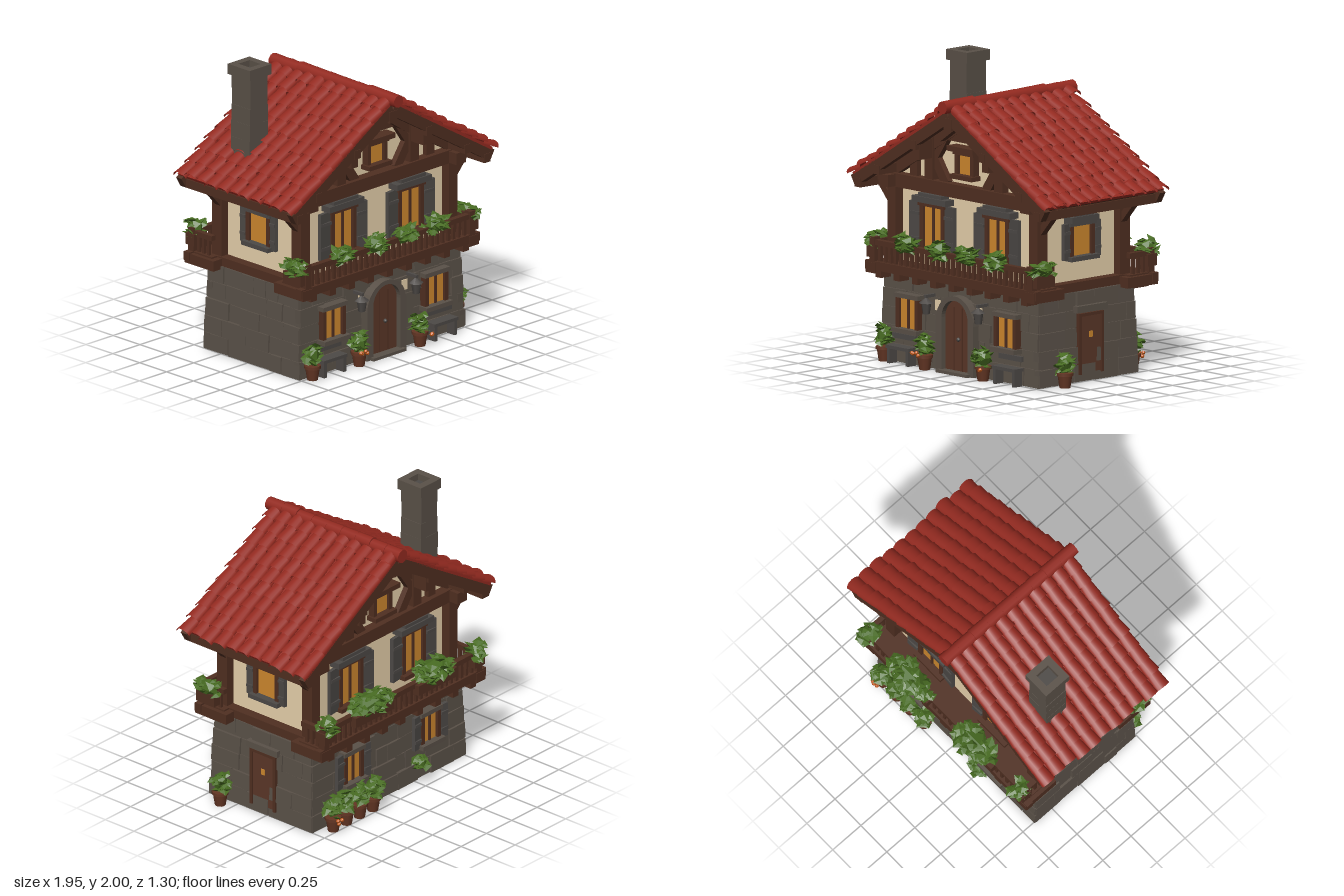
import * as THREE from 'three';
import { mergeGeometries } from 'three/addons/utils/BufferGeometryUtils.js';

const mat = (name, color, side = THREE.FrontSide) => new THREE.MeshStandardMaterial({ name, color, side });
const M = {
  stone: mat('stone', 0x5a5148, THREE.DoubleSide), slate: mat('darkSlate', 0x4d4946),
  wood: mat('darkWood', 0x502f21), door: mat('doorWood', 0x5b3728),
  plaster: mat('plaster', 0xe8d2ac), glow: mat('amberGlass', 0xce882e),
  roof: mat('redTile', 0x942a20, THREE.DoubleSide), leaf: mat('leaf', 0x486c22),
  pot: mat('terracotta', 0x643624), flower: mat('flower', 0xc05a1c),
};

let seed = 7;
const rnd = (a = 0, b = 1) => {
  seed = (seed * 16807) % 2147483647;
  return a + (b - a) * (seed / 2147483647);
};

function add(parent, name, geometry, material, x = 0, y = 0, z = 0) {
  const m = new THREE.Mesh(geometry, material);
  m.name = name;
  m.position.set(x, y, z);
  parent.add(m);
  return m;
}
const box = (p, name, material, w, h, d, x, y, z) => add(p, name, new THREE.BoxGeometry(w, h, d), material, x, y, z);

// Timber between two points in the x-y plane
function beam(p, name, x1, y1, x2, y2, thick, depth, z) {
  const b = box(p, name, M.wood, Math.hypot(x2 - x1, y2 - y1), thick, depth, (x1 + x2) / 2, (y1 + y2) / 2, z);
  b.rotation.z = Math.atan2(y2 - y1, x2 - x1);
  return b;
}

function wall(root, name, x, z, turn) {
  const g = new THREE.Group();
  g.name = name;
  g.position.set(x, 0, z);
  g.rotation.y = turn;
  root.add(g);
  return g;
}

// Broad-leaved cluster filling an ellipsoid
function bush(p, name, x, y, z, rx, ry, rz, count) {
  const parts = [new THREE.IcosahedronGeometry(1, 0).scale(rx * 0.75, ry * 0.75, rz * 0.75)];
  for (let i = 0; i < count; i++) {
    const a = rnd(0, Math.PI * 2), v = rnd(-0.9, 0.95), r = Math.sqrt(1 - v * v), k = rnd(0.6, 0.85);
    const s = rnd(0.034, 0.052);
    parts.push(new THREE.OctahedronGeometry(s).scale(1, 0.3, 0.75)
      .rotateZ(rnd(-0.7, 0.7)).rotateY(rnd(0, 6.28))
      .translate(rx * k * r * Math.cos(a), ry * k * v, rz * k * r * Math.sin(a)));
  }
  add(p, name, mergeGeometries(parts), M.leaf, x, y, z);
}

function pottedPlant(p, x, z, h = 0.26, r = 0.06, blooms = 0) {
  add(p, 'pot', new THREE.CylinderGeometry(0.05, 0.036, 0.09, 10), M.pot, x, 0.045, z);
  add(p, 'potRim', new THREE.CylinderGeometry(0.056, 0.056, 0.02, 10), M.pot, x, 0.09, z);
  bush(p, 'pottedPlant', x, 0.08 + (h - 0.08) / 2, z, r, (h - 0.06) / 2, r, 26);
  for (let i = 0; i < blooms; i++)
    add(p, 'blossom', new THREE.IcosahedronGeometry(0.015), M.flower,
      x + rnd(-0.05, 0.05), rnd(0.07, 0.12), z + Math.sign(z) * 0.068);
}

// Window centred at x, y on a wall whose local z points outward; it passes through the wall
function windowUnit(p, x, y, w, h, { shutter = 0, lintel = 0, frame = M.wood, mullion = true } = {}) {
  const t = 0.03;
  box(p, 'windowGlass', M.glow, w, h, 0.1, x, y, -0.02);
  for (const s of [-1, 1]) {
    box(p, 'windowJamb', M.wood, t, h + t, 0.13, x + s * (w + t) / 2, y, -0.015);
    if (shutter) {
      const sx = x + s * (w / 2 + t + shutter / 2);
      box(p, 'shutter', M.slate, shutter, h + 0.04, 0.025, sx, y, 0.035).rotation.y = -s * 0.12;
      for (const dy of [-0.3, 0.3]) box(p, 'shutterBatten', M.slate, shutter * 0.9, 0.02, 0.02, sx, y + dy * h, 0.047);
    }
  }
  box(p, 'windowHead', frame, w + 2.6 * t, t, 0.14, x, y + (h + t) / 2, -0.01);
  box(p, 'windowSill', frame, w + 3 * t, t, 0.16, x, y - (h + t) / 2, 0);
  if (mullion) box(p, 'mullion', M.wood, 0.018, h, 0.02, x, y, 0.03);
  if (lintel) {
    box(p, 'lintel', M.slate, lintel, 0.04, 0.1, x, y + h / 2 + 0.045, 0.03);
    box(p, 'lintelCap', M.slate, lintel * 0.7, 0.025, 0.08, x, y + h / 2 + 0.075, 0.03);
  }
}

function archShape(w, h) {
  const s = new THREE.Shape();
  s.moveTo(-w, 0).lineTo(w, 0).lineTo(w, h - w);
  s.absarc(0, h - w, w, 0, Math.PI, false);
  s.lineTo(-w, 0);
  return s;
}

// Courses of uneven stones over one tapered base wall
function stonework(p, half, name) {
  const parts = [];
  for (let row = 0; row < 5; row++) {
    const y = 0.06 + row * 0.12, end = half + 0.015 - row * 0.005, shift = -row * 0.005;
    for (let x = -end; x < end - 0.01;) {
      let w = rnd(0.1, 0.24);
      if (end - x - w < 0.08) w = end - x;
      parts.push(new THREE.BoxGeometry(w - 0.004, rnd(0.11, 0.12), 0.05)
        .rotateX(-0.04).rotateZ(rnd(-0.02, 0.02)).translate(x + w / 2, y, rnd(-0.016, 0) + shift));
      x += w;
    }
  }
  add(p, name, mergeGeometries(parts), M.stone);
}

function balcony(p, name) {
  const g = new THREE.Group();
  g.name = name;
  p.add(g);
  box(g, 'deck', M.wood, 1.56, 0.03, 0.22, 0, 0.645, 0.08);
  box(g, 'deckBeam', M.wood, 1.64, 0.06, 0.05, 0, 0.63, 0.165);
  box(g, 'topRail', M.wood, 1.5, 0.035, 0.04, 0, 0.785, 0.165);
  for (let i = 0; i < 29; i++)
    box(g, 'baluster', M.wood, 0.022, 0.13, 0.022, -0.7 + i * 0.05, 0.715, 0.165).rotation.z = rnd(-0.06, 0.06);
  for (let i = -4; i <= 4; i++) box(g, 'joist', M.wood, 0.055, 0.06, 0.25, i * 0.175, 0.585, 0.06);
  for (const s of [-1, 1]) {
    box(g, 'endBeam', M.wood, 0.09, 0.07, 0.27, s * 0.765, 0.615, 0.06);
    box(g, 'cornerPost', M.wood, 0.05, 0.2, 0.05, s * 0.755, 0.72, 0.165);
    box(g, 'sideRail', M.wood, 0.035, 0.035, 0.2, s * 0.755, 0.785, 0.08);
    for (let i = 0; i < 3; i++) box(g, 'sideBaluster', M.wood, 0.02, 0.13, 0.02, s * 0.755, 0.715, 0.02 + i * 0.045);
  }
  return g;
}

// Timber-framed gable end
function gable(p, overhang) {
  beam(p, 'tieBeam', -0.74, 1.2, 0.74, 1.2, 0.09, 0.1, 0.02);
  windowUnit(p, 0, 1.38, 0.12, 0.13, { mullion: false });
  box(p, 'gableHood', M.wood, 0.25, 0.035, 0.1, 0, 1.485, 0.04);
  const peak = new THREE.Shape();
  peak.moveTo(-0.3, 1.53).lineTo(0.3, 1.53).lineTo(0, 1.72).lineTo(-0.3, 1.53);
  add(p, 'peakBoards', new THREE.ExtrudeGeometry(peak, { depth: 0.02, bevelEnabled: false }), M.wood, 0, 0, 0.005);
  beam(p, 'collarBeam', -0.28, 1.555, 0.28, 1.555, 0.06, 0.06, 0.01);
  for (const s of [-1, 1]) {
    beam(p, 'bargeRafter', 0, 1.72, s * 0.91, 1.175, 0.08, 0.05, overhang);
    beam(p, 'wallRafter', 0, 1.69, s * 0.74, 1.255, 0.12, 0.07, 0.01);
    beam(p, 'upperBrace', s * 0.19, 1.54, s * 0.3, 1.38, 0.05, 0.05, 0.015);
    beam(p, 'lowerBrace', s * 0.19, 1.23, s * 0.3, 1.39, 0.07, 0.05, 0.015);
    box(p, 'gablePost', M.wood, 0.08, 0.32, 0.07, s * 0.335, 1.38, 0.02);
    box(p, 'gableStud', M.wood, 0.07, 0.2, 0.05, s * 0.5, 1.3, 0.01);
    box(p, 'purlinBracket', M.wood, 0.06, 0.12, overhang, s * 0.33, 1.45, overhang / 2);
    box(p, 'cornerPost', M.wood, 0.08, 0.54, 0.09, s * 0.68, 0.91, 0.02);
    beam(p, 'eaveStrut', s * 0.69, 1.01, s * 0.85, 1.19, 0.045, 0.05, 0.01);
    beam(p, 'eaveTie', s * 0.68, 1.2, s * 0.88, 1.2, 0.05, 0.06, 0.02);
    beam(p, 'ridgeBrace', s * 0.16, 1.55, 0, 1.66, 0.05, 0.05, overhang * 0.6);
  }
}

// Overlapping barrel tiles, the lower end of each lifted over the next
function roofSlope(root, s) {
  const tilt = Math.atan(0.605), zc = s * 0.055, g = new THREE.Group();
  g.name = 'roofSlope';
  g.position.y = 1.785;
  g.rotation.set(0, s < 0 ? Math.PI : 0, -tilt);
  root.add(g);
  box(g, 'roofBoards', M.wood, 1.05, 0.03, 1.05, 0.525, -0.035, zc);
  box(g, 'tileBed', M.roof, 1.07, 0.02, 1.08, 0.535, -0.01, zc);
  const tiles = [];
  for (let c = 0; c < 11; c++) {
    const stagger = rnd(-0.015, 0.015);
    for (let r = 0; r < 10; r++) {
      tiles.push(new THREE.CylinderGeometry(0.045, 0.056, 0.13, 8, 1, true, 0, Math.PI)
        .scale(0.72, 1, 1).rotateZ(Math.PI / 2 + 0.12).rotateY(rnd(-0.06, 0.06))
        .translate(0.05 + r * 0.109 + stagger + rnd(-0.008, 0.008), rnd(-0.004, 0.008), zc + (c - 5) * 0.1));
    }
  }
  add(g, 'roofTiles', mergeGeometries(tiles), M.roof);
}

export function createModel() {
  const root = new THREE.Group();
  root.name = 'cottage';

  // Tapered stone ground floor, open underneath
  const base = new THREE.CylinderGeometry(Math.SQRT1_2, Math.SQRT1_2 * 1.03, 0.61, 4, 1, true)
    .rotateY(Math.PI / 4).scale(1.45, 1, 0.83).toNonIndexed();
  base.computeVertexNormals();
  add(root, 'stoneBase', base, M.stone, 0, 0.305, 0.045);
  box(root, 'ceiling', M.wood, 1.42, 0.02, 0.82, 0, 0.595, 0.045);
  const lower = [['frontBase', 0, 0.475, 0, 0.745], ['rightBase', 0.745, 0.045, Math.PI / 2, 0.43],
    ['backBase', 0, -0.385, Math.PI, 0.745], ['leftBase', -0.745, 0.045, -Math.PI / 2, 0.43]]
    .map(([n, x, z, a, half]) => {
      const g = wall(root, n, x, z, a);
      stonework(g, half, n + 'Stones');
      return g;
    });
  const [front, right, back] = lower;

  // Arched front door, windows, lanterns and benches
  const frame = archShape(0.18, 0.52);
  frame.holes.push(archShape(0.125, 0.49));
  const extrude = (s, depth) => new THREE.ExtrudeGeometry(s, { depth, bevelEnabled: false, curveSegments: 10 });
  add(front, 'doorArch', extrude(frame, 0.14), M.stone, 0, 0, -0.08);
  add(front, 'frontDoor', extrude(archShape(0.125, 0.49), 0.1), M.door, 0, 0.005, -0.075);
  for (const x of [-0.04, 0.04]) box(front, 'doorSeam', M.wood, 0.008, 0.42, 0.006, x, 0.23, 0.026);
  add(front, 'doorKnob', new THREE.SphereGeometry(0.014, 8, 6), M.slate, 0.01, 0.23, 0.035);
  box(front, 'doorStep', M.stone, 0.3, 0.02, 0.08, 0, 0.01, 0.05);
  for (const s of [-1, 1]) {
    windowUnit(front, s * 0.47, 0.34, 0.15, 0.2, { frame: M.stone });
    box(front, 'plasterPatch', M.plaster, 0.05, 0.07, 0.006, s * 0.2, 0.43, 0.022);
    box(front, 'lanternArm', M.slate, 0.02, 0.02, 0.1, s * 0.25, 0.49, 0.04);
    add(front, 'lanternRoof', new THREE.ConeGeometry(0.05, 0.04, 6), M.slate, s * 0.25, 0.465, 0.08);
    add(front, 'lantern', new THREE.CylinderGeometry(0.035, 0.024, 0.075, 6), M.slate, s * 0.25, 0.41, 0.08);
    box(front, 'benchSeat', M.slate, 0.22, 0.022, 0.08, s * 0.51, 0.11, 0.06);
    box(front, 'benchBack', M.slate, 0.22, 0.035, 0.02, s * 0.51, 0.18, 0.03);
    for (const d of [-0.09, 0.09]) box(front, 'benchLeg', M.slate, 0.025, 0.1, 0.07, s * 0.51 + d, 0.05, 0.06);
    windowUnit(back, s * 0.38, 0.36, 0.13, 0.2, { shutter: 0.07, frame: M.stone });
  }

  // Side door
  box(right, 'sideDoor', M.door, 0.18, 0.38, 0.08, 0.02, 0.25, -0.025);
  for (const s of [-1, 1]) box(right, 'sideDoorJamb', M.wood, 0.022, 0.4, 0.1, 0.02 + s * 0.1, 0.25, -0.025);
  box(right, 'sideDoorHead', M.wood, 0.22, 0.02, 0.1, 0.02, 0.445, -0.025);
  box(right, 'sideDoorGlass', M.glow, 0.03, 0.04, 0.008, 0.02, 0.31, 0.017);
  box(right, 'sideDoorLintel', M.stone, 0.27, 0.045, 0.08, 0.02, 0.485, -0.005);

  // Plastered upper floor with gables
  const house = new THREE.Shape();
  house.moveTo(-0.66, 0.61).lineTo(0.66, 0.61).lineTo(0.66, 1.34).lineTo(0, 1.73).lineTo(-0.66, 1.34).lineTo(-0.66, 0.61);
  add(root, 'plasterWalls', extrude(house, 0.7), M.plaster, 0, 0, -0.3);
  for (const [n, z, a, over] of [['frontUpper', 0.4, 0, 0.17], ['backUpper', -0.3, Math.PI, 0.16]]) {
    const g = wall(root, n, 0, z, a);
    gable(g, over);
    for (const s of [-1, 1]) windowUnit(g, s * 0.31, 0.92, 0.17, 0.28, { shutter: 0.1, lintel: 0.32 });
    balcony(g, n + 'Balcony').position.z = z < 0 ? 0.035 : -0.02;
  }
  for (const s of [-1, 1]) {
    const g = wall(root, s > 0 ? 'rightUpper' : 'leftUpper', s * 0.66, 0.05, s * Math.PI / 2);
    windowUnit(g, 0, 0.93, 0.16, 0.2, { shutter: 0.055, lintel: 0.24, frame: M.slate, mullion: false });
    box(g, 'sillBeam', M.wood, 1.0, 0.06, 0.1, 0, 0.63, 0.02);
    box(g, 'wallPlate', M.wood, 0.98, 0.08, 0.09, 0, 1.2, 0.02);
  }

  // Balcony flowers
  for (const x of [-0.43, -0.13, 0.14, 0.42]) bush(root, 'balconyBush', x, 0.81, 0.565, 0.11, 0.085, 0.065, 30);
  for (const s of [-1, 1]) {
    box(root, 'backPlanter', M.wood, 0.38, 0.07, 0.06, s * 0.31, 0.76, -0.525);
    bush(root, 'backBush', s * 0.31, 0.84, -0.52, 0.22, 0.1, 0.115, 75);
    box(root, 'endPlanter', M.wood, 0.06, 0.08, 0.16, s * 0.79, 0.72, 0.48);
    bush(root, 'endBush', s * 0.79, 0.79, 0.48, 0.065, 0.08, 0.12, 24);
    box(root, 'endPlanter', M.wood, 0.1, 0.08, 0.08, s * 0.74, 0.74, -0.5);
    bush(root, 'endBush', s * 0.73, 0.81, -0.51, 0.065, 0.085, 0.085, 24);
  }

  // Tiled roof, ridge and purlins
  for (const s of [-1, 1]) {
    roofSlope(root, s);
    for (const x of [0.33, 0.68, 0.86]) box(root, 'purlin', M.wood, 0.055, 0.06, 1.08, s * x, 1.69 - 0.605 * x, 0.06);
  }
  box(root, 'ridgePurlin', M.wood, 0.07, 0.08, 1.08, 0, 1.67, 0.06);
  for (let i = 0; i < 9; i++)
    add(root, 'ridgeTile', new THREE.CylinderGeometry(0.043, 0.047, 0.14, 10).rotateX(Math.PI / 2),
      M.roof, 0, 1.786 + rnd(-0.004, 0.004), -0.45 + i * 0.128);

  // Chimney with hollow cap
  const cx = -0.595, cz = -0.14;
  for (let i = 0; i < 6; i++)
    box(root, 'chimneyCourse', M.stone, 0.172 - i * 0.004 + rnd(0, 0.006), 0.114, 0.175 + rnd(-0.004, 0.004), cx, 1.33 + i * 0.112, cz);
  for (const s of [-1, 1]) {
    box(root, 'chimneyCap', M.stone, 0.2, 0.07, 0.05, cx, 1.965, cz + s * 0.078);
    box(root, 'chimneyCap', M.stone, 0.05, 0.07, 0.11, cx + s * 0.075, 1.965, cz);
  }
  box(root, 'chimneyFlue', M.slate, 0.1, 0.01, 0.11, cx, 1.95, cz);

  // Potted plants around the walls
  pottedPlant(root, -0.68, 0.53, 0.27, 0.065);
  pottedPlant(root, -0.27, 0.55, 0.25, 0.07, 4);
  pottedPlant(root, 0.29, 0.55, 0.23, 0.075, 4);
  pottedPlant(root, 0.84, 0.33, 0.25, 0.07);
  for (let i = 0; i < 4; i++) pottedPlant(root, 0.24 + i * 0.13, -0.47, 0.26, 0.07, i === 3 ? 3 : 0);
  bush(root, 'backShrub', -0.26, 0.15, -0.45, 0.06, 0.06, 0.05, 16);
  return root;
}
